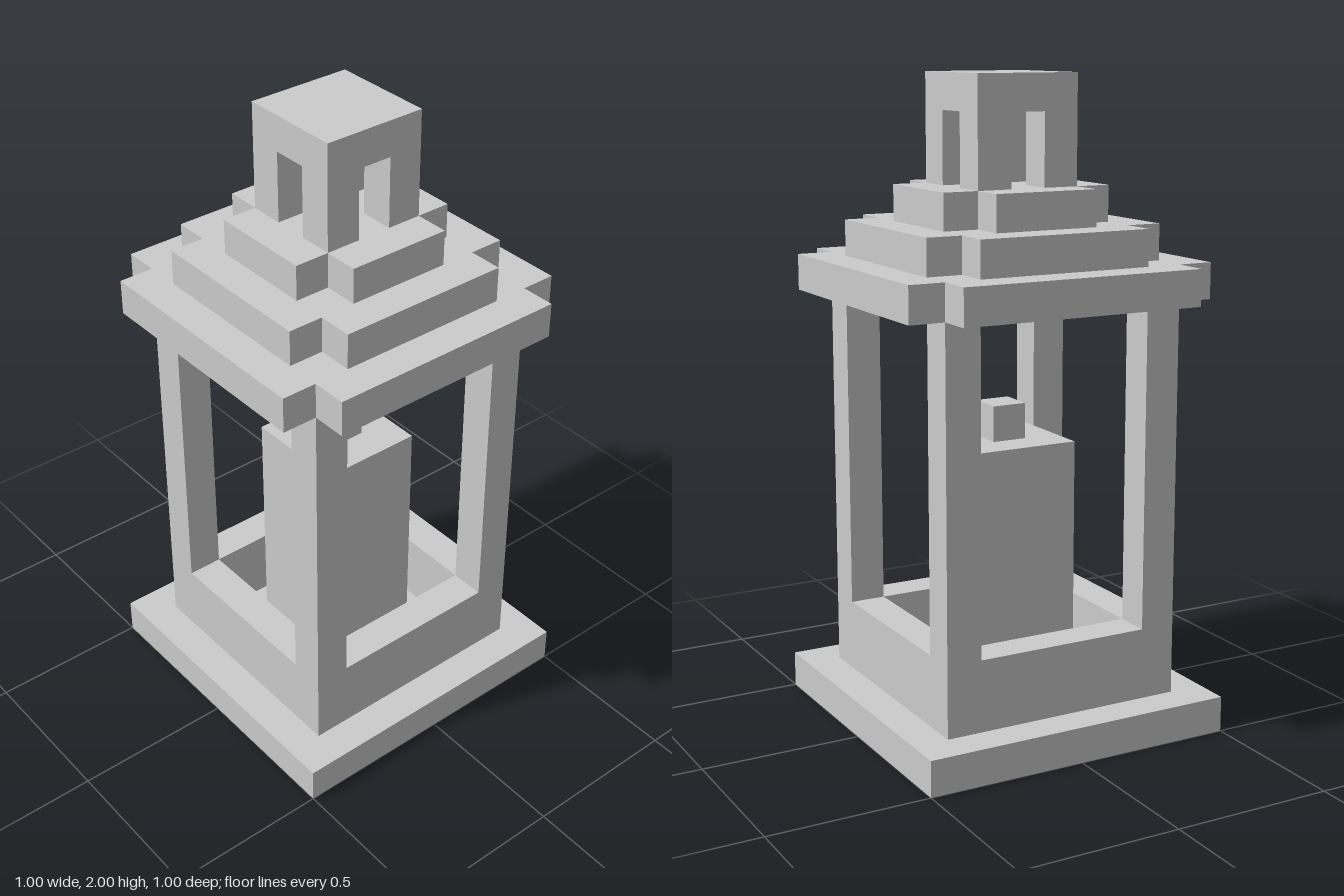
import * as THREE from 'three';

// One block of the grid the lantern is laid out on (9 x 18 x 9 blocks)
const U = 1 / 9;
const material = new THREE.MeshStandardMaterial({ color: 0xcccccc, flatShading: true });

// Square-section box of width w, spanning heights y0..y1 (in blocks)
function block(name, w, y0, y1, x = 0, z = 0) {
  const mesh = new THREE.Mesh(new THREE.BoxGeometry(w * U, (y1 - y0) * U, w * U), material);
  mesh.position.set(x * U, ((y0 + y1) / 2) * U, z * U);
  mesh.name = name;
  return mesh;
}

// Upright extrusion of a plan outline given in blocks
function slab(name, outline, y0, y1, hole) {
  const toPoints = (list) => list.map(([x, z]) => new THREE.Vector2(x * U, z * U));
  const shape = new THREE.Shape(toPoints(outline));
  if (hole) shape.holes.push(new THREE.Path(toPoints(hole)));
  const geometry = new THREE.ExtrudeGeometry(shape, { depth: (y1 - y0) * U, bevelEnabled: false });
  geometry.rotateX(-Math.PI / 2);
  const mesh = new THREE.Mesh(geometry, material);
  mesh.position.y = y0 * U;
  mesh.name = name;
  return mesh;
}

const square = (h) => [[-h, -h], [h, -h], [h, h], [-h, h]];

// Square with a one-block notch at each corner
function notchedSquare(h) {
  const i = h - 1;
  return [
    [-i, -h], [i, -h], [i, -i], [h, -i], [h, i], [i, i],
    [i, h], [-i, h], [-i, i], [-h, i], [-h, -i], [-i, -i],
  ];
}

// Four one-block posts, mirrored about both axes
function posts(name, offset, y0, y1) {
  const group = new THREE.Group();
  group.name = name;
  for (const sx of [1, -1]) {
    for (const sz of [1, -1]) {
      const label = (sz > 0 ? 'front' : 'back') + (sx > 0 ? 'Left' : 'Right') + 'Post';
      group.add(block(label, 1, y0, y1, sx * offset, sz * offset));
    }
  }
  return group;
}

export function createModel() {
  const model = new THREE.Group();
  model.name = 'lantern';

  // Plinth and the open tray walls on it
  model.add(block('basePlate', 9, 0, 1));
  model.add(slab('trayWall', square(3.5), 1, 3, square(2.5)));

  // Candle with its wick
  model.add(block('candle', 3, 1, 8));
  model.add(block('wick', 1, 8, 9));

  // Corner posts carrying the roof
  model.add(posts('framePosts', 3, 3, 12));

  // Stepped roof with notched corners
  const roof = new THREE.Group();
  roof.name = 'roof';
  [4.5, 3.5, 2.5].forEach((h, i) => {
    roof.add(slab('roofTier' + (i + 1), notchedSquare(h), 12 + i, 13 + i));
  });
  model.add(roof);

  // Vented chimney: four corner posts under a cap
  model.add(posts('chimneyPosts', 1, 15, 17));
  model.add(block('chimneyCap', 3, 17, 18));

  return model;
}
